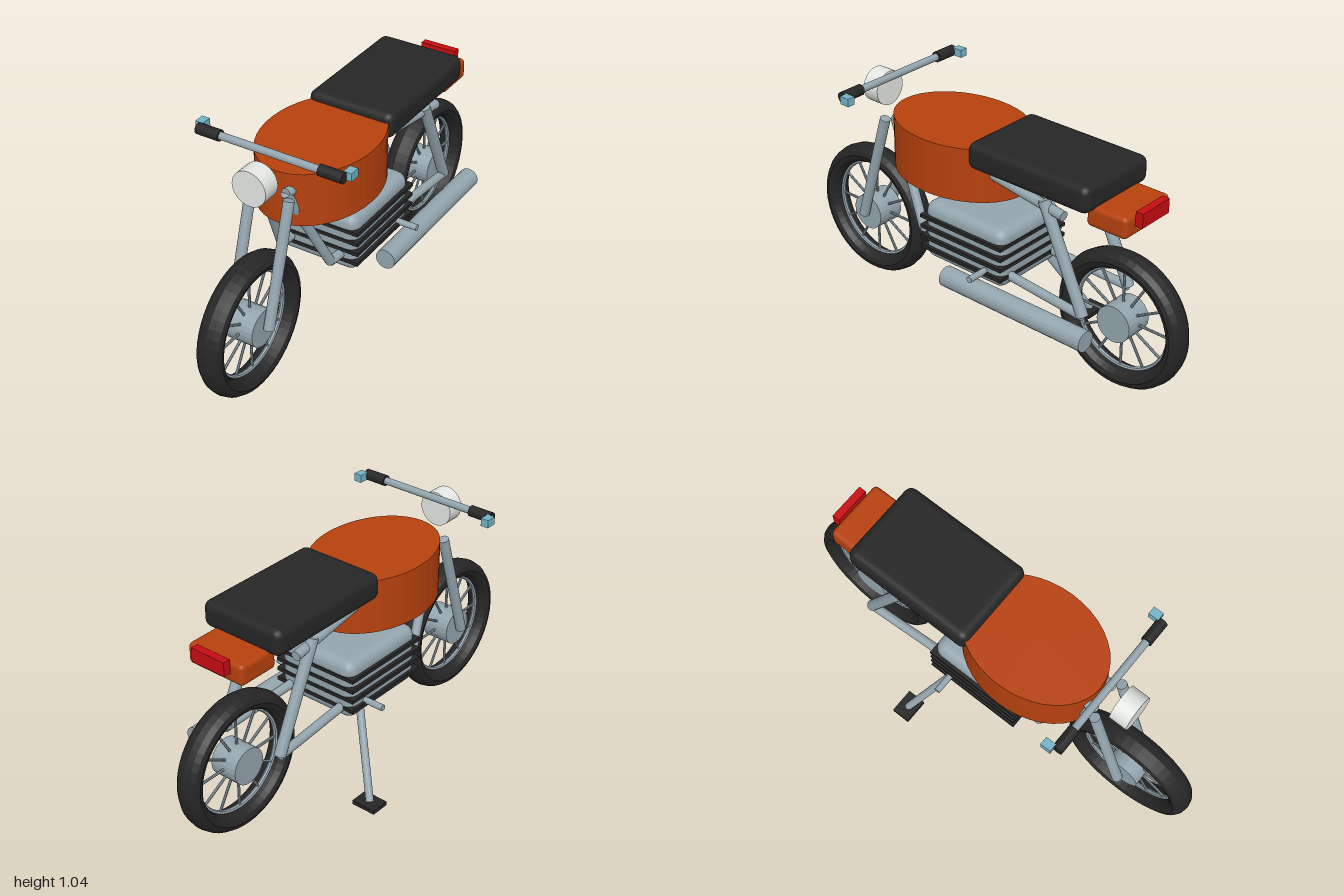
import * as THREE from 'three';
import { RoundedBoxGeometry } from 'three/addons/geometries/RoundedBoxGeometry.js';

const CX = 0.018; // centre line of the bike

function paint(name, color) {
  const m = new THREE.MeshStandardMaterial({ color });
  m.name = name;
  return m;
}

export function createModel() {
  const root = new THREE.Group();
  root.name = 'motorcycle';

  const steel = paint('steel', 0x94a5ae);
  const rubber = paint('blackRubber', 0x262626);
  const rust = paint('rustOrange', 0xb7410e);
  const lens = paint('whiteLens', 0xf2f5f1);
  const red = paint('tailRed', 0xc80d12);
  const blue = paint('paleBlue', 0x74b4c8);

  // Adds a faceted mesh
  function add(parent, name, geometry, material, x = 0, y = 0, z = 0) {
    const g = geometry.index ? geometry.toNonIndexed() : geometry;
    g.computeVertexNormals();
    const mesh = new THREE.Mesh(g, material);
    mesh.name = name;
    mesh.position.set(x, y, z);
    parent.add(mesh);
    return mesh;
  }

  // Round bar between two points
  function bar(parent, name, a, b, radius, material, sides = 16) {
    const p = new THREE.Vector3(...a), q = new THREE.Vector3(...b);
    const dir = q.clone().sub(p);
    const mesh = add(parent, name, new THREE.CylinderGeometry(radius, radius, dir.length(), sides), material);
    mesh.position.copy(p).add(q).multiplyScalar(0.5);
    mesh.quaternion.setFromUnitVectors(new THREE.Vector3(0, 1, 0), dir.normalize());
    return mesh;
  }

  // Wheels: tyre, rim, hub and spokes
  function wheel(name, z) {
    const w = new THREE.Group();
    w.name = name;
    w.position.set(CX, 0.307, z);
    const tyre = new THREE.TorusGeometry(0.266, 0.041, 12, 48);
    tyre.scale(1, 1, 1.4);
    add(w, 'tyre', tyre.rotateY(Math.PI / 2), rubber);
    add(w, 'rim', new THREE.TorusGeometry(0.226, 0.011, 8, 48).rotateY(Math.PI / 2), steel);
    bar(w, 'hub', [-0.064, 0, 0], [0.064, 0, 0], 0.081, steel, 24);
    for (let i = 0; i < 12; i++) {
      const a = (i * Math.PI) / 6, c = Math.cos(a), s = Math.sin(a);
      bar(w, 'spoke', [0, s * 0.05, c * 0.05], [0, s * 0.225, c * 0.225], 0.006, steel, 8);
    }
    root.add(w);
  }
  wheel('frontWheel', 0.692);
  wheel('rearWheel', -0.692);

  // Fork legs and frame tubes, mirrored about the centre line
  const frame = new THREE.Group();
  frame.name = 'frame';
  root.add(frame);
  for (const s of [1, -1]) {
    const at = (x, y, z) => [CX + s * x, y, z];
    const head = at(0.055, 0.835, 0.505);
    const cradle = at(0.118, 0.405, 0.29);
    const rearLow = at(0.15, 0.35, -0.605);
    const seatTop = at(0.152, 0.8, -0.4);
    bar(frame, 'forkLeg', at(0.0875, 0.31, 0.69), at(0.0875, 0.83, 0.532), 0.023, steel);
    bar(frame, 'downTube', head, cradle, 0.021, steel);
    bar(frame, 'lowerRail', cradle, rearLow, 0.02, steel);
    bar(frame, 'rearStrut', rearLow, seatTop, 0.025, steel);
    bar(frame, 'topRail', head, at(0.152, 0.763, -0.5), 0.021, steel);
  }

  // Fuel tank: upright elliptical drum
  const tank = new THREE.CylinderGeometry(1, 1, 0.238, 40);
  tank.scale(0.24, 1, 0.325);
  add(root, 'fuelTank', tank, rust, CX, 0.791, 0.164);

  // Seat and tail
  add(root, 'seat', new RoundedBoxGeometry(0.4, 0.118, 0.61, 3, 0.035), rubber, CX + 0.002, 0.888, -0.34);
  add(root, 'tail', new RoundedBoxGeometry(0.283, 0.093, 0.19, 3, 0.02), rust, CX, 0.802, -0.693);
  add(root, 'tailLight', new THREE.BoxGeometry(0.168, 0.062, 0.034), red, CX, 0.832, -0.806);

  // Engine block with cooling fins
  const engine = new THREE.Group();
  engine.name = 'engine';
  root.add(engine);
  add(engine, 'engineBlock', new RoundedBoxGeometry(0.382, 0.268, 0.438, 3, 0.045), steel, CX, 0.455, 0);
  for (let i = 0; i < 4; i++) {
    add(engine, 'coolingFin', new THREE.BoxGeometry(0.412, 0.016, 0.446), rubber, CX, 0.377 + i * 0.0485, 0);
  }

  // Foot pegs and exhaust
  bar(root, 'footPegBar', [-0.269, 0.386, -0.126], [0.305, 0.386, -0.126], 0.014, steel);
  bar(root, 'exhaust', [0.254, 0.311, 0.05], [0.254, 0.311, -0.69], 0.045, steel, 20);

  // Side stand
  bar(root, 'standLeg', [-0.14, 0.365, -0.122], [-0.319, 0.015, -0.27], 0.017, steel);
  add(root, 'standFoot', new THREE.BoxGeometry(0.114, 0.018, 0.085), rubber, -0.317, 0.009, -0.27);

  // Headlight
  bar(root, 'headlight', [CX, 0.926, 0.587], [CX, 0.926, 0.668], 0.077, lens, 32);

  // Handlebar, grips and end markers
  const handlebar = new THREE.Group();
  handlebar.name = 'handlebar';
  handlebar.position.set(CX, 1.013, 0.527);
  root.add(handlebar);
  bar(handlebar, 'bar', [-0.32, 0, 0], [0.32, 0, 0], 0.016, steel);
  for (const s of [1, -1]) {
    bar(handlebar, 'grip', [s * 0.226, 0, 0], [s * 0.332, 0, 0], 0.024, rubber);
    add(handlebar, 'endMarker', new THREE.BoxGeometry(0.036, 0.035, 0.046), blue, s * 0.337, 0.001, -0.037);
  }
  return root;
}
